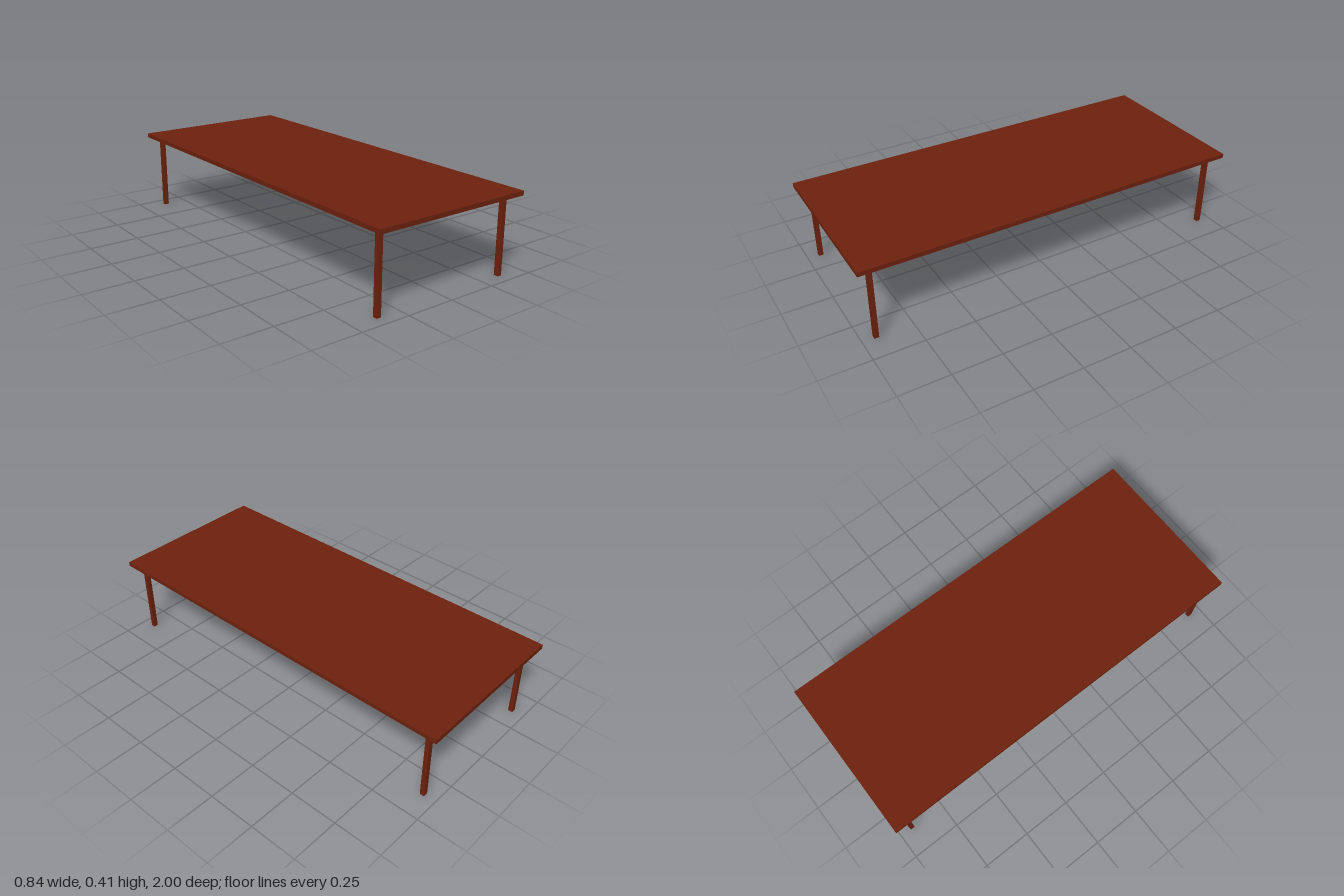
import * as THREE from 'three';

export function createModel() {
  const wood = new THREE.MeshStandardMaterial({ color: 0x6e210e });
  wood.name = 'reddish brown wood';

  const table = new THREE.Group();
  table.name = 'table';

  const height = 0.412, topThickness = 0.022, legWidth = 0.023;
  const legHeight = height - topThickness;

  // Long flat slab
  const top = new THREE.Mesh(new THREE.BoxGeometry(0.84, topThickness, 2), wood);
  top.name = 'tableTop';
  top.position.y = height - topThickness / 2;
  table.add(top);

  // Four slim square legs, set in from the corners
  const legGeometry = new THREE.BoxGeometry(legWidth, legHeight, legWidth);
  for (const [side, sx] of [['Left', 1], ['Right', -1]]) {
    for (const [end, sz] of [['front', 1], ['back', -1]]) {
      const leg = new THREE.Mesh(legGeometry, wood);
      leg.name = `${end}${side}Leg`;
      leg.position.set(sx * 0.365, legHeight / 2, sz * 0.932);
      table.add(leg);
    }
  }
  return table;
}
